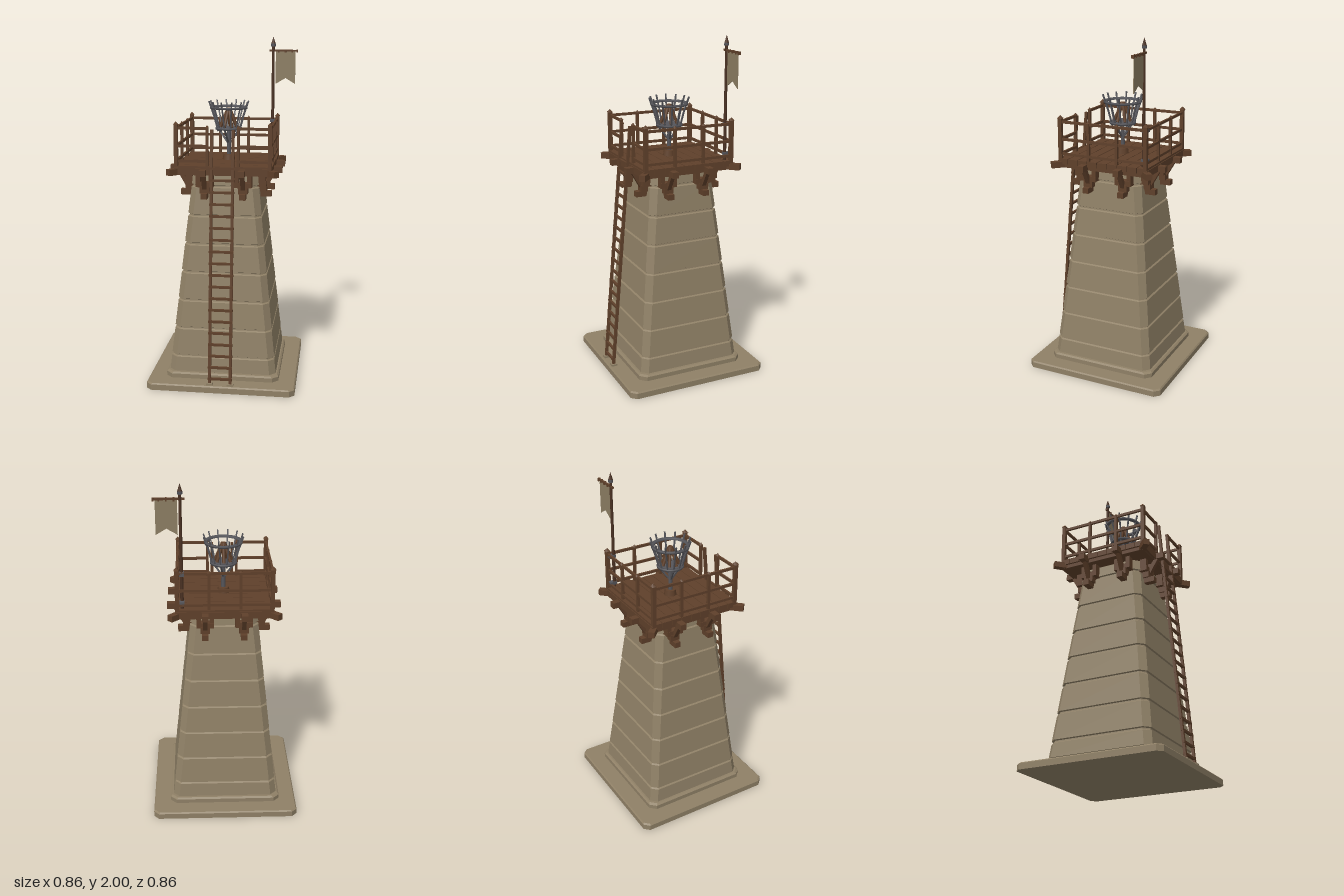
import * as THREE from 'three';

const mat = (name, color) => Object.assign(new THREE.MeshStandardMaterial({ color }), { name });

export function createModel() {
  const stone = mat('stone', 0x8f8066);
  const wood = mat('wood', 0x5f402a);
  const darkWood = mat('dark wood', 0x4a3122);
  const iron = mat('iron', 0x55555a);
  const cloth = mat('cloth', 0x8c7d62);
  cloth.side = THREE.DoubleSide;

  const model = new THREE.Group();
  model.name = 'watchtower';
  const group = (name, parent = model) => {
    const g = new THREE.Group();
    g.name = name;
    parent.add(g);
    return g;
  };
  const add = (parent, name, geo, material, x = 0, y = 0, z = 0) => {
    const m = new THREE.Mesh(geo, material);
    m.name = name;
    m.position.set(x, y, z);
    parent.add(m);
    return m;
  };
  const box = (parent, name, w, h, d, x, y, z, material = wood) =>
    add(parent, name, new THREE.BoxGeometry(w, h, d), material, x, y, z);
  // Square or round bar running from a to b
  const bar = (parent, name, a, b, w, material, d = w, round = false) => {
    const p = new THREE.Vector3(...a), q = new THREE.Vector3(...b);
    const dir = q.clone().sub(p), len = dir.length();
    const geo = round ? new THREE.CylinderGeometry(w / 2, w / 2, len, 8) : new THREE.BoxGeometry(w, len, d);
    const m = add(parent, name, geo, material);
    m.position.copy(p).add(q).multiplyScalar(0.5);
    m.quaternion.setFromUnitVectors(new THREE.Vector3(0, 1, 0), dir.normalize());
    return m;
  };

  // Solid lofted through square sections with cut corners: [y, half width, corner cut]
  const loft = (sections) => {
    const pos = [];
    const rings = sections.map(([y, h, c]) => [
      [h, h - c], [h, c - h], [h - c, -h], [c - h, -h], [-h, c - h], [-h, h - c], [c - h, h], [h - c, h],
    ].map(([x, z]) => [x, y, z]));
    const tri = (a, b, c) => pos.push(...a, ...b, ...c);
    for (let i = 0; i + 1 < rings.length; i++) {
      for (let k = 0; k < 8; k++) {
        const n = (k + 1) % 8, lo = rings[i], hi = rings[i + 1];
        tri(lo[k], lo[n], hi[n]);
        tri(lo[k], hi[n], hi[k]);
      }
    }
    const last = rings[rings.length - 1];
    for (let k = 1; k < 7; k++) {
      tri(rings[0][0], rings[0][k + 1], rings[0][k]);
      tri(last[0], last[k], last[k + 1]);
    }
    const g = new THREE.BufferGeometry();
    g.setAttribute('position', new THREE.Float32BufferAttribute(pos, 3));
    g.computeVertexNormals();
    return g;
  };

  // Stone footing and tapered courses with grooved joints
  add(model, 'plinth', loft([[0, 0.43, 0.03], [0.033, 0.43, 0.03], [0.04, 0.423, 0.03]]), stone);
  add(model, 'footing', loft([[0.04, 0.33, 0.035], [0.065, 0.33, 0.035], [0.073, 0.32, 0.035]]), stone);
  const half = (y) => 0.313 - 0.107 * (y - 0.07);
  const joints = [0.07, 0.17, 0.335, 0.5, 0.665, 0.83, 0.995, 1.165, 1.245];
  const sections = [];
  for (let i = 0; i + 1 < joints.length; i++) {
    const a = joints[i] + 0.004, b = joints[i + 1] - 0.004;
    sections.push([a, half(a) - 0.009, 0.03], [a + 0.004, half(a), 0.035],
      [b - 0.006, half(b), 0.035], [b, half(b) - 0.009, 0.03]);
  }
  add(model, 'tower', loft(sections), stone);

  // Platform: frame beams under cross planks
  const platform = group('platform');
  box(platform, 'subfloor', 0.53, 0.025, 0.53, 0, 1.252, 0);
  for (let i = 0; i < 9; i++) {
    box(platform, 'plank', 0.552, 0.032, 0.058, 0, 1.277, (i - 4) * 0.0617);
  }
  for (const s of [-1, 1]) {
    box(platform, 'edgeBeam', 0.55, 0.04, 0.02, 0, 1.262, s * 0.27);
    for (const t of [-1, 1]) {
      const b = box(platform, 'cornerBeam', 0.036, 0.035, 0.2, s * 0.235, 1.258, t * 0.235);
      b.rotation.y = s * t * Math.PI / 4;
    }
  }

  // Joists, brackets and railings on each side
  for (let side = 0; side < 4; side++) {
    const g = group('platformSide');
    g.rotation.y = side * Math.PI / 2;
    for (const s of [-1, 1]) {
      const x = s * 0.11;
      box(g, 'joist', 0.036, 0.035, 0.16, x, 1.258, 0.245);
      box(g, 'lowerCorbel', 0.036, 0.032, 0.11, x, 1.116, 0.21);
      box(g, 'bracketPost', 0.055, 0.04, 0.06, x, 1.15, 0.207);
      box(g, 'bracketCrosspiece', 0.1, 0.03, 0.05, x, 1.18, 0.21);
      for (const t of [-1, 1]) box(g, 'bracketUpright', 0.026, 0.05, 0.04, x + t * 0.037, 1.217, 0.212);
      bar(g, 'brace', [x, 1.13, 0.21], [x, 1.25, 0.28], 0.024, wood);
      // Intermediate rail post with a pointed cap
      box(g, 'railPost', 0.016, 0.22, 0.016, s * 0.088, 1.4, 0.264);
      add(g, 'postCap', new THREE.ConeGeometry(0.013, 0.014, 4).rotateY(Math.PI / 4), wood, s * 0.088, 1.517, 0.264);
    }
    box(g, 'cornerPost', 0.022, 0.24, 0.022, 0.265, 1.405, 0.265);
    add(g, 'cornerCap', new THREE.ConeGeometry(0.02, 0.018, 4).rotateY(Math.PI / 4), wood, 0.265, 1.534, 0.265);
    for (const y of [1.32, 1.405, 1.505]) {
      if (side === 0) {
        for (const s of [-1, 1]) box(g, 'rail', 0.18, 0.015, 0.012, s * 0.176, y, 0.264);
      } else box(g, 'rail', 0.53, 0.015, 0.012, 0, y, 0.264);
    }
  }

  // Leaning ladder
  const ladder = group('ladder');
  const ladderZ = (y) => 0.4 - 0.089 * (y - 0.045);
  for (const s of [-1, 1]) {
    bar(ladder, 'ladderRail', [s * 0.06, 0.045, ladderZ(0.045)], [s * 0.06, 1.5, ladderZ(1.5)], 0.016, wood);
    box(ladder, 'ladderFoot', 0.036, 0.012, 0.034, s * 0.06, 0.045, 0.4, stone);
  }
  for (let i = 0; i < 19; i++) {
    const y = 0.075 + i * 0.0672;
    box(ladder, 'rung', 0.14, 0.013, 0.013, 0, y, ladderZ(y) + 0.002);
  }

  // Fire basket on a stand
  const brazier = group('brazier');
  add(brazier, 'standBase', new THREE.CylinderGeometry(0.032, 0.038, 0.035, 8), wood, 0, 1.308, 0);
  add(brazier, 'stand', new THREE.CylinderGeometry(0.011, 0.013, 0.16, 8), iron, 0, 1.39, 0);
  add(brazier, 'basketFloor', new THREE.CylinderGeometry(0.066, 0.056, 0.012, 16), iron, 0, 1.475, 0);
  const hoop = (r, w, h, y) => add(brazier, 'hoop', new THREE.LatheGeometry([
    [r, 0], [r + w, 0], [r + w, h], [r, h], [r, 0],
  ].map((p) => new THREE.Vector2(...p)), 24), iron, 0, y, 0).geometry.toNonIndexed();
  hoop(0.064, 0.014, 0.012, 1.47);
  hoop(0.092, 0.018, 0.012, 1.592);
  for (let i = 0; i < 12; i++) {
    const a = (i + 0.5) * Math.PI / 6;
    const at = (r, y) => [r * Math.cos(a), y, r * Math.sin(a)];
    bar(brazier, 'basketBar', at(0.064, 1.46), at(0.088, 1.55), 0.008, iron);
    bar(brazier, 'basketBarTip', at(0.088, 1.55), at(0.117, 1.635), 0.008, iron);
    if (i % 3 === 0) bar(brazier, 'strut', at(0.01, 1.395), at(0.064, 1.47), 0.01, iron);
  }
  for (let i = 0; i < 7; i++) {
    const a = i * Math.PI * 2 / 7 + 0.2, c = Math.cos(a), s = Math.sin(a);
    bar(brazier, 'log', [c * 0.05, 1.485, s * 0.05], [c * 0.006, 1.592, s * 0.006], 0.018, wood, 0.018, true);
  }

  // Flagpole, crossbar and swallow-tailed banner
  const flag = group('flag');
  const px = 0.237, pz = -0.24;
  add(flag, 'pole', new THREE.CylinderGeometry(0.008, 0.01, 0.69, 8), darkWood, px, 1.605, pz);
  add(flag, 'poleCollar', new THREE.CylinderGeometry(0.014, 0.014, 0.016, 8), iron, px, 1.95, pz);
  add(flag, 'finial', new THREE.ConeGeometry(0.014, 0.045, 8), darkWood, px, 1.978, pz);
  for (const y of [1.33, 1.5]) box(flag, 'poleClamp', 0.028, 0.018, 0.04, px, y, pz - 0.01, iron);
  bar(flag, 'crossbar', [0.213, 1.917, pz], [0.383, 1.917, pz], 0.011, wood);
  for (const x of [0.27, 0.31, 0.35, 0.38]) box(flag, 'bannerTie', 0.009, 0.018, 0.016, x, 1.915, pz);
  const banner = new THREE.Shape([
    [0.252, 1.912], [0.252, 1.72], [0.312, 1.755], [0.37, 1.72], [0.37, 1.912],
  ].map((p) => new THREE.Vector2(...p)));
  add(flag, 'banner', new THREE.ExtrudeGeometry(banner, { depth: 0.004, bevelEnabled: false }), cloth, 0, 0, pz - 0.002);

  return model;
}
